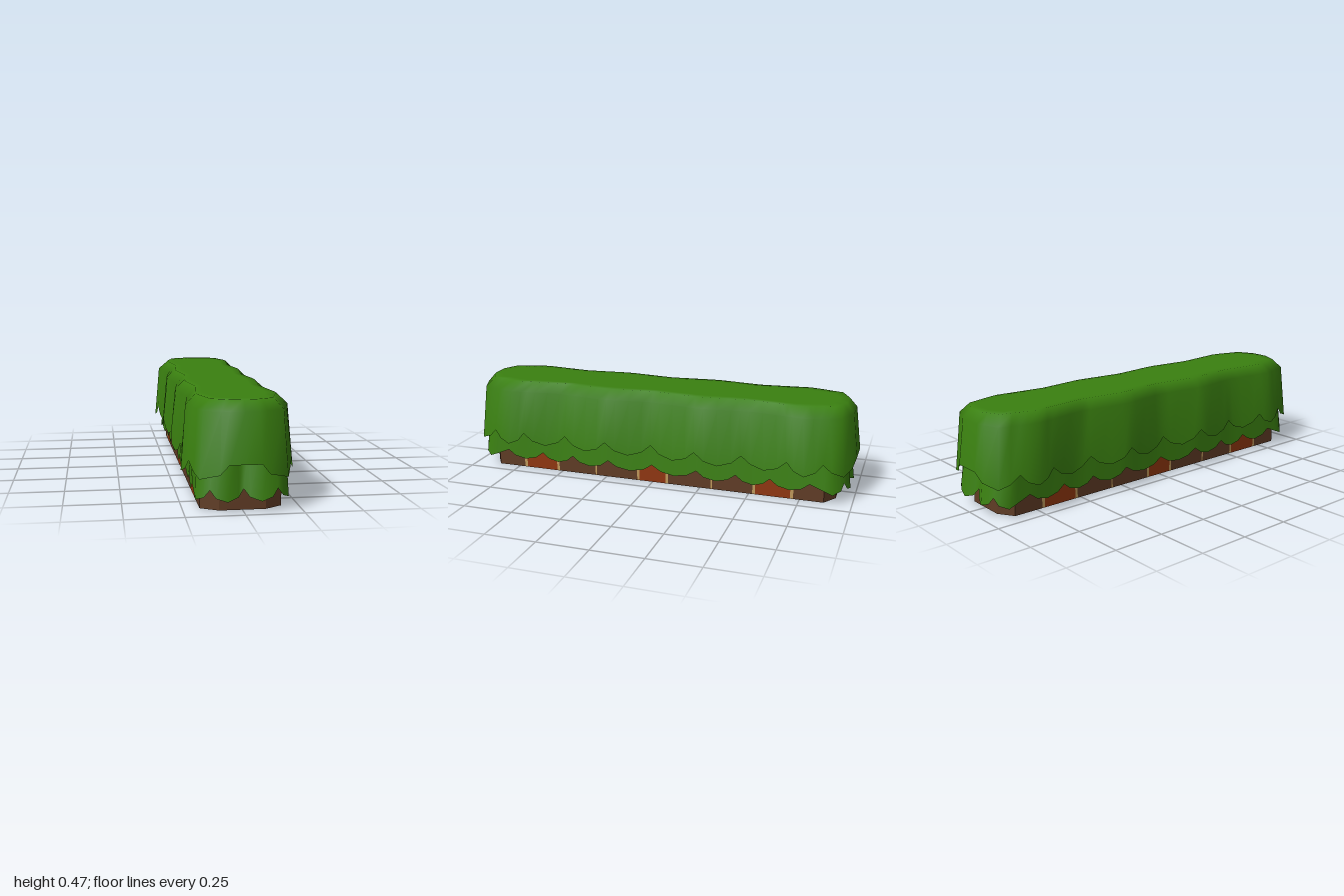
import * as THREE from 'three';

const mat = (name, color) => {
  const m = new THREE.MeshStandardMaterial({ color, side: THREE.DoubleSide });
  m.name = name;
  return m;
};

// Half width of a wavy plan at a given z, from a few [z, x] control points
function widthAt(plan, z) {
  for (let i = 0; i < plan.length - 1; i++) {
    const [z0, x0] = plan[i], [z1, x1] = plan[i + 1];
    if (z <= z0 && z >= z1) return x0 + (x1 - x0) * (z0 - z) / (z0 - z1);
  }
  return plan[0][1];
}

// Quarter of a scalloped hem: given end points, then leaf scallops along the side
function quarterHem(end, plan, cusps, high, mid, low) {
  const pts = [...end];
  const heights = [high, mid, low, mid];
  for (let i = 0; i < cusps.length - 1; i++) {
    for (let k = 0; k < 4; k++) {
      const f = [0, 0.2, 0.5, 0.8][k];
      const z = cusps[i] + (cusps[i + 1] - cusps[i]) * f;
      pts.push([widthAt(plan, z), heights[k], z]);
    }
  }
  pts.push([widthAt(plan, 0), high, 0]);
  return pts;
}

// Mirror a quarter to a closed loop, starting at the front centre
function fullLoop(q) {
  const half = [...q, ...q.slice(0, -1).reverse().map(([x, y, z]) => [x, y, -z])];
  return [...half, ...half.slice(1, -1).reverse().map(([x, y, z]) => [-x, y, z])];
}

// Skin from the hem up through scaled rings [y, xScale, zScale]
function foliage(hem, rings, capped) {
  const n = hem.length, pos = [], idx = [];
  hem.forEach((p) => pos.push(...p));
  for (const [y, sx, sz] of rings) hem.forEach(([x, , z]) => pos.push(x * sx, y, z * sz));
  for (let r = 0; r < rings.length; r++) {
    for (let i = 0; i < n; i++) {
      const j = (i + 1) % n, a = r * n + i, b = r * n + j;
      idx.push(a, b, b + n, a, b + n, a + n);
    }
  }
  if (capped) {
    const o = rings.length * n;
    for (let i = 0; i < n / 2; i++) {
      const a = o + i, b = o + i + 1, c = o + n - i - 1, d = o + (n - i) % n;
      if (c !== b) idx.push(a, b, c);
      if (d !== a) idx.push(a, c, d);
    }
  }
  const g = new THREE.BufferGeometry();
  g.setAttribute('position', new THREE.Float32BufferAttribute(pos, 3));
  g.setIndex(idx);
  g.computeVertexNormals();
  return g;
}

export function createModel() {
  const model = new THREE.Group();
  model.name = 'hedge';
  const green = mat('leafGreen', 0x3a8010);
  const brown = mat('woodBrown', 0x603c25);
  const red = mat('brickRed', 0x90360f);
  const tan = mat('trimTan', 0xc09a5c);

  const add = (name, geo, material, parent = model) => {
    const mesh = new THREE.Mesh(geo, material);
    mesh.name = name;
    parent.add(mesh);
    return mesh;
  };

  // Upper foliage with bevelled flat top
  const upperPlan = [[0.955, 0.187], [0.785, 0.247], [0.515, 0.208], [0.26, 0.243], [0, 0.206]];
  const upperHem = fullLoop(quarterHem(
    [[0, 0.21, 1], [0.068, 0.21, 1], [0.105, 0.165, 0.986], [0.187, 0.145, 0.955], [0.205, 0.165, 0.9]],
    upperPlan, [0.86, 0.69, 0.465, 0.235, 0], 0.205, 0.165, 0.145));
  add('upperFoliage', foliage(upperHem,
    [[0.425, 0.907, 0.972], [0.47, 0.713, 0.935], [0.47, 0.55, 0.89]], true), green);

  // Lower foliage skirt, tucked under the upper layer
  const lowerPlan = [[0.9, 0.197], [0.785, 0.2], [0.515, 0.187], [0.26, 0.198], [0, 0.187]];
  const lowerHem = fullLoop(quarterHem(
    [[0, 0.098, 0.945], [0.024, 0.065, 0.96], [0.072, 0.05, 0.98], [0.12, 0.065, 0.968],
      [0.143, 0.098, 0.955], [0.168, 0.065, 0.945], [0.199, 0.05, 0.91], [0.199, 0.065, 0.87]],
    lowerPlan, [0.8, 0.605, 0.435, 0.235, 0], 0.094, 0.065, 0.052));
  add('lowerFoliage', foliage(lowerHem, [[0.27, 0.95, 0.97]], false), green);

  // Open planter wall, one panel per colour
  const planter = new THREE.Group();
  planter.name = 'planter';
  model.add(planter);
  const H = 0.097;
  const panel = (name, ax, az, bx, bz, material) => {
    const m = add(name, new THREE.PlaneGeometry(Math.hypot(bx - ax, bz - az), H), material, planter);
    m.position.set((ax + bx) / 2, H / 2, (az + bz) / 2);
    m.rotation.y = Math.atan2(az - bz, bx - ax);
  };
  const W = 0.176, C = 0.1, L = 0.915, S = 0.867;
  const stops = [S, 0.72, 0.705, 0.532, 0.518, 0.313, 0.305, 0.083, 0.07];
  const kinds = [brown, tan, red, tan, brown, tan, brown, tan];
  const label = new Map([[brown, 'woodPanel'], [tan, 'trimStrip'], [red, 'redPanel']]);
  for (const s of [1, -1]) {
    panel('endPanel', -C * s, L * s, C * s, L * s, brown);
    panel('cornerPanel', C * s, L * s, W * s, S * s, brown);
    panel('cornerPanel', W * s, -S * s, C * s, -L * s, brown);
    kinds.forEach((k, i) => {
      panel(label.get(k), W * s, stops[i] * s, W * s, stops[i + 1] * s, k);
      panel(label.get(k), W * s, -stops[i + 1] * s, W * s, -stops[i] * s, k);
    });
    panel('redPanel', W * s, 0.07 * s, W * s, -0.07 * s, red);
  }
  return model;
}
